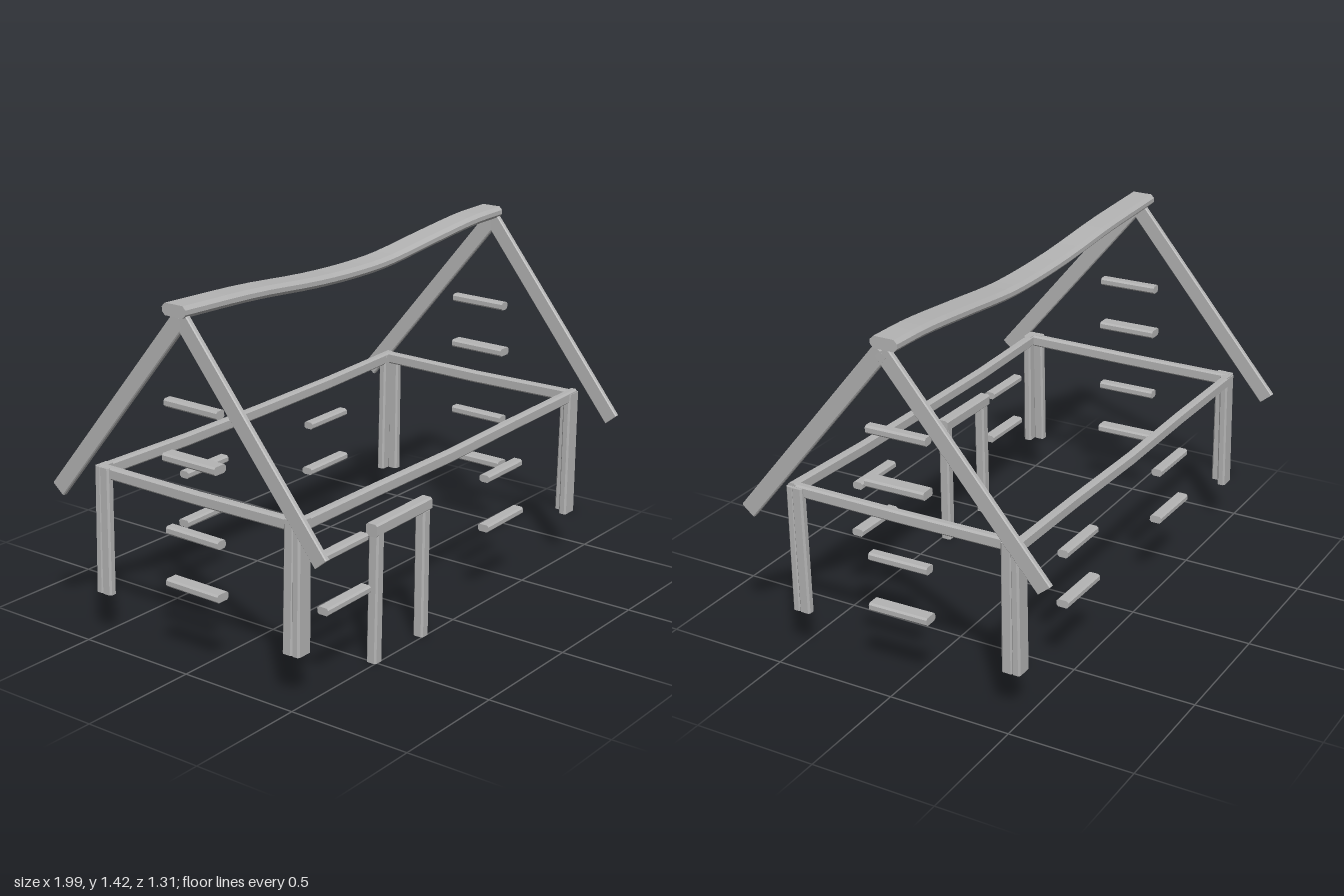
import * as THREE from 'three';

const X = new THREE.Vector3(1, 0, 0);
const Z = new THREE.Vector3(0, 0, 1);

// Chamfered timber swept along points; w is measured along the axis u, h across it
function timberGeometry(points, w, h, u, c) {
  const a = w / 2, b = h / 2;
  const section = [[a, -b + c], [a, b - c], [a - c, b], [-a + c, b],
    [-a, b - c], [-a, -b + c], [-a + c, -b], [a - c, -b]];
  const path = points.map(p => new THREE.Vector3(...p));
  const rings = path.map((p, i) => {
    const t = path[Math.min(i + 1, path.length - 1)].clone()
      .sub(path[Math.max(i - 1, 0)]).normalize();
    const v = t.clone().cross(u).normalize();
    return section.map(([s, r]) => p.clone().addScaledVector(u, s).addScaledVector(v, r));
  });
  const pos = [];
  const tri = (...corners) => corners.forEach(q => pos.push(q.x, q.y, q.z));
  const n = section.length, first = rings[0], last = rings[rings.length - 1];
  for (let i = 0; i < rings.length - 1; i++) {
    for (let k = 0; k < n; k++) {
      const m = (k + 1) % n;
      tri(rings[i][k], rings[i][m], rings[i + 1][m]);
      tri(rings[i][k], rings[i + 1][m], rings[i + 1][k]);
    }
  }
  for (let k = 1; k < n - 1; k++) {
    tri(first[0], first[k + 1], first[k]);
    tri(last[0], last[k], last[k + 1]);
  }
  const g = new THREE.BufferGeometry();
  g.setAttribute('position', new THREE.Float32BufferAttribute(pos, 3));
  g.computeVertexNormals();
  return g;
}

export function createModel() {
  const model = new THREE.Group();
  model.name = 'timberHouseFrame';
  const timber = new THREE.MeshStandardMaterial({ color: 0xb4b4b4 });
  timber.name = 'grey timber';

  const beam = (name, points, w, h, u, c = 0.007) => {
    const mesh = new THREE.Mesh(timberGeometry(points, w, h, u, c), timber);
    mesh.name = name;
    model.add(mesh);
  };

  // Sagging ridge beam
  const ridge = new THREE.CatmullRomCurve3([
    [-0.993, 1.383, -0.015], [-0.6, 1.37, -0.015], [-0.25, 1.345, -0.012], [0, 1.338, -0.01],
    [0.2, 1.343, -0.01], [0.5, 1.374, -0.013], [0.8, 1.403, -0.015], [0.995, 1.409, -0.015],
  ].map(p => new THREE.Vector3(...p)));
  beam('ridgeBeam', ridge.getPoints(24).map(p => p.toArray()), 0.11, 0.045, Z, 0.014);

  // Gable rafters
  for (const s of [1, -1]) {
    beam('leftRafter', [[0.963, 0.612, s * 0.627], [0.984, 1.378, 0]], 0.022, 0.067, X, 0.004);
    beam('rightRafter', [[s > 0 ? -0.984 : -0.988, 0.595, s * 0.627], [-0.972, 1.355, 0]],
      0.022, 0.067, X, 0.004);
  }

  // Wall plates, rising gently towards the left gable
  for (const z of [0.472, -0.477]) {
    const s = Math.sign(z);
    beam(s > 0 ? 'frontWallPlate' : 'backWallPlate', [
      [-0.93, 0.677, z], [-0.45, 0.677, z - 0.008 * s], [0, 0.681, z - 0.004 * s],
      [0.45, 0.693, z - 0.007 * s], [0.905, 0.708, z]], 0.034, 0.048, Z);
  }
  beam('rightWallPlate', [[-0.913, 0.676, 0.48], [-0.915, 0.674, 0], [-0.913, 0.678, -0.48]],
    0.034, 0.048, X);
  beam('leftWallPlate', [[0.888, 0.704, 0.48], [0.886, 0.702, 0], [0.888, 0.708, -0.48]],
    0.034, 0.048, X);

  // Corner posts: two boards forming an L
  for (const sx of [1, -1]) {
    for (const sz of [1, -1]) {
      const top = sx > 0 ? 0.72 : 0.7;
      const xBottom = sx > 0 ? 0.872 : -0.917, xTop = sx > 0 ? 0.881 : -0.903;
      const out = sx * 0.02;
      beam('cornerPostFace', [[xBottom, 0.195, sz * 0.478], [xTop, top, sz * 0.475]],
        0.072, 0.034, X);
      beam('cornerPostSide', [[xBottom + out, 0.195, sz * 0.441], [xTop + out, top, sz * 0.444]],
        0.034, 0.046, X);
    }
  }

  // Door frame
  beam('doorPost', [[-0.491, 0.01, 0.481], [-0.478, 0.52, 0.481]], 0.044, 0.045, X);
  beam('doorPost', [[-0.192, 0.01, 0.481], [-0.187, 0.52, 0.481]], 0.044, 0.045, X);
  beam('doorLintel', [[-0.508, 0.537, 0.48], [-0.16, 0.544, 0.48]], 0.05, 0.05, Z);

  // Window sills and lintels along the front and back walls
  const windows = [[-0.68, 1], [0.345, 1], [-0.335, -1], [0.45, -1]];
  for (const [x, s] of windows) {
    beam('windowSill', [[x - 0.126, 0.323, s * 0.488], [x + 0.126, 0.328, s * 0.488]],
      0.05, 0.03, Z);
    beam('windowLintel', [[x - 0.12, 0.528, s * 0.484], [x + 0.12, 0.532, s * 0.484]],
      0.044, 0.03, Z);
  }

  // Gable window sills and lintels, two windows high
  for (const s of [1, -1]) {
    const x = s > 0 ? 0.908 : -0.928, rise = s > 0 ? 0.012 : -0.006;
    [[0.323, 0.06], [0.527, 0.044], [0.817, 0.062], [1.019, 0.042]].forEach(([y, w], i) => {
      const shift = i === 3 ? -0.008 * s : 0;
      const lift = i < 2 ? 0 : rise;
      beam(i % 2 ? 'gableLintel' : 'gableSill',
        [[x + shift, y + lift, 0.125], [x + shift, y + lift + 0.003, -0.125]], w, 0.032, X);
    });
  }
  return model;
}
